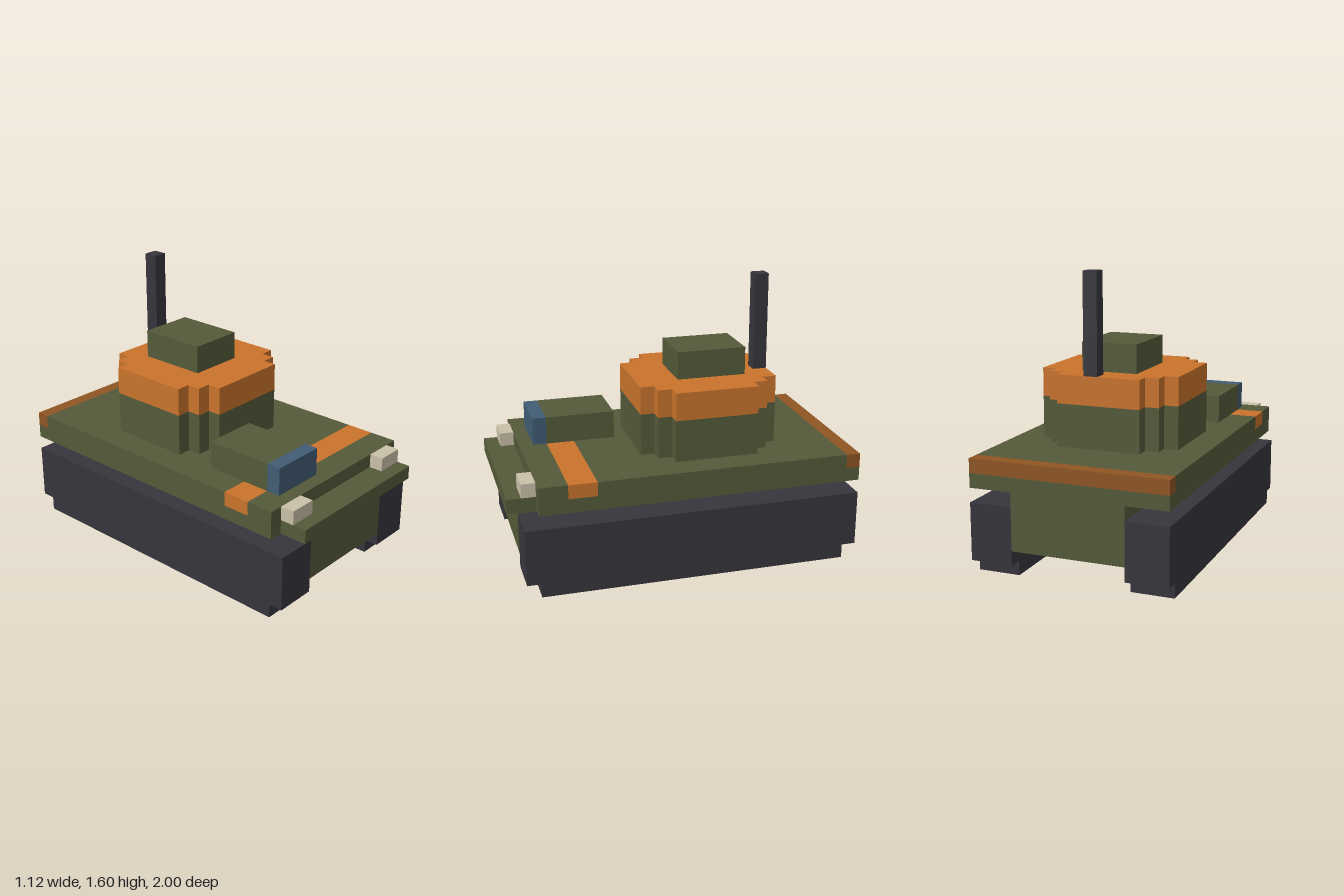
import * as THREE from 'three';

const paint = (name, color) => {
  const m = new THREE.MeshStandardMaterial({ color });
  m.name = name;
  return m;
};

export function createModel() {
  const olive = paint('olive', 0x535a39);
  const orange = paint('orange', 0xc9732b);
  const rust = paint('rust', 0x8f5523);
  const dark = paint('dark rubber', 0x36353c);
  const blue = paint('blue glass', 0x425c75);
  const cream = paint('cream', 0xcac0a8);

  const model = new THREE.Group();
  model.name = 'tank';

  // Box given by its limits on each axis
  const box = (name, mat, [x0, x1], [y0, y1], [z0, z1]) => {
    const mesh = new THREE.Mesh(new THREE.BoxGeometry(x1 - x0, y1 - y0, z1 - z0), mat);
    mesh.position.set((x0 + x1) / 2, (y0 + y1) / 2, (z0 + z1) / 2);
    mesh.name = name;
    model.add(mesh);
  };

  // Hull between the tracks
  box('hull', olive, [-0.32, 0.32], [0.16, 0.48], [-1, 0.92]);

  // Tracks and headlamps, mirrored
  for (const [side, s] of [['left', 1], ['right', -1]]) {
    const span = (a, b) => (s > 0 ? [a, b] : [-b, -a]);
    box(side + 'Track', dark, span(0.32, 0.56), [0.08, 0.4], [-1, 0.92]);
    box(side + 'TrackBottom', dark, span(0.32, 0.56), [0, 0.08], [-0.92, 0.84]);
    box(side + 'Headlamp', cream, span(0.32, 0.48), [0.56, 0.64], [0.84, 0.92]);
  }

  // Deck: plain lower layer, upper layer banded along its length
  const width = [-0.56, 0.56];
  box('deckLower', olive, width, [0.48, 0.56], [-1, 0.84]);
  box('rearStripe', rust, width, [0.56, 0.64], [-1, -0.92]);
  box('deckUpper', olive, width, [0.56, 0.64], [-0.92, 0.52]);
  box('frontStripe', orange, width, [0.56, 0.64], [0.52, 0.68]);
  box('deckNose', olive, width, [0.56, 0.64], [0.68, 0.84]);
  box('bumper', olive, [-0.48, 0.48], [0.48, 0.56], [0.84, 1]);

  // Driver's cab with window
  box('driverCab', olive, [-0.4, -0.08], [0.64, 0.8], [0.28, 0.68]);
  box('driverWindow', blue, [-0.4, -0.08], [0.64, 0.8], [0.68, 0.76]);

  // Turret: stepped round outline, one quadrant mirrored into four
  const quarter = [[0.4, 0.24], [0.32, 0.24], [0.32, 0.32], [0.24, 0.32], [0.24, 0.4]];
  const flip = (sx, sy) => quarter.map(([x, y]) => new THREE.Vector2(x * sx, y * sy));
  const outline = new THREE.Shape([
    ...flip(1, 1), ...flip(-1, 1).reverse(), ...flip(-1, -1), ...flip(1, -1).reverse(),
  ]);
  const turretLayer = (name, mat, y0, y1) => {
    const geo = new THREE.ExtrudeGeometry(outline, { depth: y1 - y0, bevelEnabled: false });
    geo.rotateX(-Math.PI / 2);
    const mesh = new THREE.Mesh(geo, mat);
    mesh.position.set(0, y0, -0.2);
    mesh.name = name;
    model.add(mesh);
  };
  turretLayer('turretBase', olive, 0.64, 0.88);
  turretLayer('turretBand', orange, 0.88, 1.04);

  // Cupola and antenna
  box('cupola', olive, [-0.16, 0.16], [1.04, 1.2], [-0.44, -0.04]);
  box('antenna', dark, [0, 0.08], [1.04, 1.6], [-0.6, -0.52]);

  return model;
}
